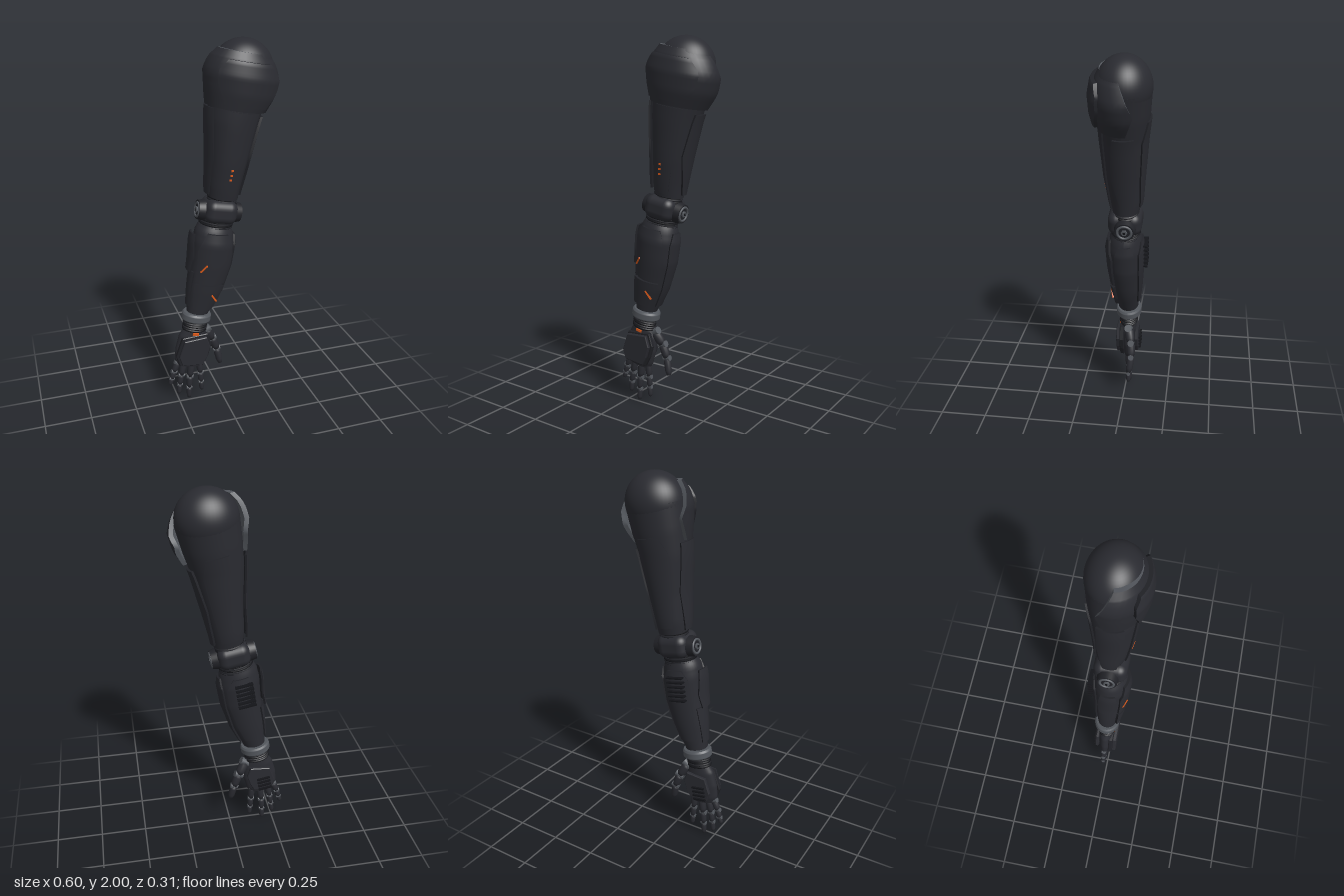
import * as THREE from 'three';
import { mergeGeometries } from 'three/addons/utils/BufferGeometryUtils.js';
import { RoundedBoxGeometry } from 'three/addons/geometries/RoundedBoxGeometry.js';

const TILT = 0.18; // cross-sections lean with the arm
const DEG = Math.PI / 180;
const mat = (name, color) => Object.assign(new THREE.MeshStandardMaterial({ color }), { name });

// Profiles: rows of [y, centre x, centre z, radius x, radius z], bottom to top
const UPPER = [[1.2, 0.01, -0.02, 0.078, 0.07], [1.26, 0.015, -0.02, 0.085, 0.082], [1.4, 0.035, -0.015, 0.1, 0.098],
  [1.6, 0.06, -0.015, 0.128, 0.115], [1.72, 0.085, -0.02, 0.143, 0.125], [1.85, 0.11, -0.02, 0.153, 0.135]];
const PAULDRON = [[1.665, 0.075, -0.02, 0.155, 0.135], [1.74, 0.095, -0.02, 0.18, 0.15],
  [1.825, 0.105, -0.02, 0.193, 0.155], [1.89, 0.108, -0.02, 0.172, 0.142], [1.94, 0.11, -0.02, 0.135, 0.115]];
const FOREARM = [[0.56, -0.135, -0.018, 0.06, 0.055], [0.7, -0.095, -0.015, 0.09, 0.075], [0.85, -0.06, -0.012, 0.105, 0.09],
  [0.97, -0.045, -0.01, 0.11, 0.095], [1.03, -0.04, -0.012, 0.1, 0.085], [1.06, -0.035, -0.015, 0.085, 0.075]];
const HAND = [[0.225, -0.185, -0.018, 0.07, 0.026], [0.26, -0.182, -0.018, 0.086, 0.036], [0.33, -0.17, -0.018, 0.092, 0.042],
  [0.41, -0.158, -0.018, 0.082, 0.044], [0.46, -0.152, -0.018, 0.058, 0.04]];

// Interpolate rows on their first value
function sample(rows, y) {
  let i = 0;
  while (i < rows.length - 2 && y > rows[i + 1][0]) i++;
  const a = rows[i], b = rows[i + 1];
  const t = THREE.MathUtils.clamp((y - a[0]) / (b[0] - a[0]), 0, 1);
  return a.map((v, k) => v + (b[k] - v) * t);
}

// Point on a profile at height y and angle (0 = +x, 90 = +z), pushed out by off
function pointOn(profile, y, angle, off = 0) {
  const [, cx, cz, rx, rz] = sample(profile, y);
  const dx = (rx + off) * Math.cos(angle * DEG);
  return new THREE.Vector3(cx + dx, y - TILT * dx, cz + (rz + off) * Math.sin(angle * DEG));
}

// Surface from a rule f(p, q); its front is dp x dq
function grid(f, np, nq) {
  const pos = [], idx = [];
  for (let i = 0; i <= np; i++) for (let j = 0; j <= nq; j++) pos.push(...f(i / np, j / nq).toArray());
  for (let i = 0; i < np; i++) for (let j = 0; j < nq; j++) {
    const a = i * (nq + 1) + j, b = a + nq + 1;
    idx.push(a, b, a + 1, b, b + 1, a + 1);
  }
  const g = new THREE.BufferGeometry();
  g.setAttribute('position', new THREE.Float32BufferAttribute(pos, 3));
  g.setIndex(idx);
  g.computeVertexNormals();
  return g;
}

// Curved plate over a profile; outline rows are [y, start angle, end angle]
function plateGeometry(profile, outline, off, thick, steps = 5) {
  const S = (u, v, w) => {
    const s = u * (outline.length - 1), i = Math.min(Math.floor(s), outline.length - 2), t = s - i;
    const [y, a0, a1] = outline[i].map((q, k) => q + (outline[i + 1][k] - q) * t);
    return pointOn(profile, y, a0 + (a1 - a0) * v, off - thick * (1 - w));
  };
  const nu = (outline.length - 1) * steps, nv = 18;
  const rims = mergeGeometries([
    grid((p, q) => S(p, 1 - q, 0), nu, nv),
    grid((p, q) => S(q, 1, p), 1, nu), grid((p, q) => S(q, 0, 1 - p), 1, nu),
    grid((p, q) => S(1, p, q), nv, 1), grid((p, q) => S(0, 1 - p, q), nv, 1)]);
  return mergeGeometries([grid((p, q) => S(p, q, 1), nu, nv), rims], true);
}

// Closed body through every section of a profile
function bodyGeometry(profile) {
  const y0 = profile[0][0], y1 = profile.at(-1)[0];
  const mid = (y) => { const [, cx, cz] = sample(profile, y); return new THREE.Vector3(cx, y, cz); };
  return mergeGeometries([
    grid((p, q) => pointOn(profile, y0 + (y1 - y0) * p, q * 360), 30, 40),
    grid((p, q) => (q ? pointOn(profile, y1, p * 360) : mid(y1)), 40, 1),
    grid((p, q) => (q ? pointOn(profile, y0, 360 - p * 360) : mid(y0)), 40, 1)]);
}

export function createModel() {
  const root = new THREE.Group();
  const armor = mat('charcoal armor', 0x2a2b31), core = mat('dark core', 0x212227);
  const black = mat('black rubber', 0x141519), steel = mat('grey steel', 0x53575d), orange = mat('orange marking', 0xd8591b);

  const add = (name, geo, m, parent = root) => {
    const mesh = new THREE.Mesh(geo, m);
    mesh.name = name;
    parent.add(mesh);
    return mesh;
  };
  const plate = (name, profile, outline, off = 0.009, thick = 0.012, edge = core) =>
    add(name, plateGeometry(profile, outline, off, thick), [armor, edge]);
  // Stack of flattened rubber rings between two [x, y, z] centres
  const bellows = (name, from, to, rx, rz, n) => {
    const a = new THREE.Vector3(...from), b = new THREE.Vector3(...to);
    for (let i = 0; i < n; i++) {
      const ring = add(name, new THREE.SphereGeometry(1, 28, 10), i % 2 ? core : black);
      ring.position.lerpVectors(a, b, i / (n - 1));
      ring.scale.set(rx, a.distanceTo(b) / n + 0.006, rz);
      ring.rotation.z = -TILT;
    }
  };
  // Thin painted mark lying on a profile
  const mark = (profile, y, angle, off, w, h, lean = 0) => {
    const m = add('orangeMark', new THREE.BoxGeometry(w, h, 0.008), orange);
    m.position.copy(pointOn(profile, y, angle, off));
    m.rotation.set(0, (90 - angle) * DEG, lean, 'YXZ');
  };

  // Shoulder and upper arm
  const ball = add('shoulderBall', new THREE.SphereGeometry(1, 48, 32), armor);
  ball.position.set(0.11, 1.85, -0.02);
  ball.scale.set(0.155, 0.15, 0.136);
  add('upperArmCore', bodyGeometry(UPPER), armor);
  plate('pauldronShell', PAULDRON, [[1.665, -8, 188], [1.77, -22, 202], [1.9, 0, 180], [1.94, 8, 172]], 0, 0.022, steel);
  plate('pauldronFrontPlate', PAULDRON, [[1.69, 55, 125], [1.78, 43, 137], [1.85, 43, 137], [1.9, 54, 126]], 0.018, 0.022);
  plate('upperArmFrontPanel', UPPER, [[1.22, 62, 112], [1.4, 55, 118], [1.66, 50, 115]]);
  plate('upperArmLeftPanel', UPPER, [[1.22, -30, 8], [1.42, -38, 32], [1.64, -28, 20]], 0.012);
  plate('upperArmBackPanel', UPPER, [[1.24, -120, -62], [1.4, -130, -55], [1.6, -130, -52], [1.7, -112, -68]]);
  plate('upperArmRightPanel', UPPER, [[1.22, 155, 200], [1.42, 145, 212], [1.66, 150, 205]], 0.02, 0.01);
  for (const y of [1.37, 1.345, 1.32]) mark(UPPER, y, 92, 0.008, 0.012, 0.01);

  // Elbow joint with a hub at each end
  bellows('elbowUpperBellows', [0.005, 1.175, -0.02], [0.008, 1.215, -0.02], 0.08, 0.068, 4);
  const elbow = new THREE.Group();
  elbow.name = 'elbow';
  elbow.position.set(-0.012, 1.135, -0.015);
  elbow.rotation.z = -TILT;
  root.add(elbow);
  add('elbowBlock', new RoundedBoxGeometry(0.17, 0.125, 0.175, 4, 0.045), armor, elbow);
  for (const s of [-1, 1]) {
    const hub = new THREE.Group();
    hub.name = 'elbowHub';
    hub.position.set(s * 0.08, -0.008, -0.005);
    hub.rotation.z = -s * Math.PI / 2;
    elbow.add(hub);
    add('hubDrum', new THREE.CylinderGeometry(0.05, 0.056, 0.036, 32), core, hub).position.y = 0.018;
    const ring = add('hubRing', new THREE.TorusGeometry(0.036, 0.007, 8, 32), steel, hub);
    ring.position.y = 0.035;
    ring.rotation.x = Math.PI / 2;
    add('hubCap', new THREE.CylinderGeometry(0.016, 0.018, 0.012, 6), steel, hub).position.y = 0.038;
    add('hubBolt', new THREE.CylinderGeometry(0.007, 0.007, 0.006, 12), black, hub).position.y = 0.043;
  }
  bellows('elbowLowerBellows', [-0.035, 1.045, -0.015], [-0.025, 1.085, -0.015], 0.092, 0.078, 5);

  // Forearm shell and plates
  add('forearmCore', bodyGeometry(FOREARM), armor);
  plate('forearmUpperFrontPlate', FOREARM, [[0.755, 45, 138], [0.93, 42, 142], [1.03, 58, 122]], 0.013, 0.014);
  plate('forearmLowerFrontPlate', FOREARM, [[0.6, 55, 128], [0.65, 46, 135], [0.742, 45, 138]], 0.016, 0.016);
  plate('forearmLeftPanel', FOREARM, [[0.6, -25, 25], [0.85, -35, 28], [0.96, -35, 28], [1.02, -22, 18]], 0.01);
  plate('forearmBackPanel', FOREARM, [[0.62, -122, -58], [0.85, -135, -50], [0.96, -130, -50], [1.02, -112, -68]]);
  plate('forearmRightPanel', FOREARM, [[0.6, 155, 208], [0.8, 150, 215]]);
  plate('forearmRightFin', FOREARM, [[0.8, 158, 200], [0.88, 152, 208], [1.01, 158, 200]], 0.024, 0.01);
  mark(FOREARM, 0.838, 120, 0.013, 0.009, 0.055, -0.75);
  mark(FOREARM, 0.672, 68, 0.016, 0.009, 0.055, 0.6);
  for (let i = 0; i < 6; i++) {
    const slat = add('forearmVent', new THREE.BoxGeometry(0.095, 0.007, 0.026), black);
    slat.position.set(-0.055 - i * 0.004, 0.99 - i * 0.025, -0.117);
    slat.rotation.z = -TILT;
  }

  // Wrist
  const cuff = [[0.508, -0.144, -0.02, 0.074, 0.064], [0.515, -0.143, -0.02, 0.08, 0.07], [0.545, -0.138, -0.02, 0.08, 0.07], [0.555, -0.136, -0.02, 0.073, 0.063]];
  add('wristCuff', bodyGeometry(cuff), steel);
  bellows('wristBellows', [-0.154, 0.455, -0.018], [-0.146, 0.505, -0.018], 0.07, 0.052, 5);

  // Hand with armored back and slatted palm
  add('handBody', bodyGeometry(HAND), armor);
  const outline = [[-0.23, 0.42], [-0.09, 0.43], [-0.068, 0.36], [-0.09, 0.29], [-0.118, 0.238], [-0.25, 0.252], [-0.268, 0.31]];
  const hex = (k) => new THREE.Shape(outline.map(([x, y]) => new THREE.Vector2(-0.168 + (x + 0.168) * k, 0.34 + (y - 0.34) * k)));
  const bevel = (depth) => ({ depth, bevelSize: 0.004, bevelThickness: 0.004, bevelSegments: 1 });
  add('handBackBase', new THREE.ExtrudeGeometry(hex(0.97), bevel(0.016)), core).position.z = 0.008;
  add('handBackPlate', new THREE.ExtrudeGeometry(hex(0.84), bevel(0.014)), armor).position.z = 0.03;
  add('palmPlate', new THREE.ExtrudeGeometry(hex(0.75), bevel(0.012)), armor).position.z = -0.072;
  for (let i = 0; i < 4; i++) {
    const slat = add('palmSlat', new THREE.BoxGeometry(0.075, 0.009, 0.014), black);
    slat.position.set(-0.192 + i * 0.004, 0.27 + i * 0.023, -0.08);
    slat.rotation.z = -TILT;
  }
  const badge = add('handMark', new THREE.BoxGeometry(0.034, 0.012, 0.008), orange);
  badge.position.set(-0.157, 0.438, 0.028);
  badge.rotation.z = -TILT;

  // Fingers: tapered links between steel knuckles
  function finger(name, points, r) {
    const g = new THREE.Group();
    g.name = name;
    root.add(g);
    const pts = points.map((p) => new THREE.Vector3(...p));
    const up = new THREE.Vector3(0, -1, 0);
    for (let i = 0; i < pts.length - 1; i++) {
      const a = pts[i], d = pts[i + 1].clone().sub(a), len = d.length(), k = r * (1 - i * 0.13);
      const q = new THREE.Quaternion().setFromUnitVectors(up, d.normalize());
      const last = i === pts.length - 2;
      const knuckle = add('knuckle', new THREE.CylinderGeometry(k * 0.78, k * 0.78, k * 2.05, 16), steel, g);
      knuckle.position.copy(a);
      knuckle.quaternion.copy(q).multiply(new THREE.Quaternion().setFromEuler(new THREE.Euler(0, 0, Math.PI / 2)));
      const link = [[0, len / 2], [k * 0.75, len / 2 - 0.003], [k, len * 0.3], [k * 0.95, -len * 0.2], [k * (last ? 0.6 : 0.78), -len / 2 + 0.004], [0, -len / 2]];
      const mesh = add(last ? 'fingertip' : 'fingerLink', new THREE.LatheGeometry(link.map(([x, y]) => new THREE.Vector2(x, y)).reverse(), 16), armor, g);
      mesh.position.copy(a).addScaledVector(d, len / 2);
      mesh.quaternion.copy(q);
    }
  }
  const z = -0.02;
  finger('littleFinger', [[-0.252, 0.25, z], [-0.275, 0.195, z], [-0.288, 0.15, z], [-0.299, 0.112, z]], 0.018);
  finger('ringFinger', [[-0.217, 0.24, z], [-0.233, 0.165, z], [-0.243, 0.105, z], [-0.25, 0.042, z]], 0.019);
  finger('middleFinger', [[-0.172, 0.235, z], [-0.183, 0.145, z], [-0.188, 0.075, z], [-0.19, 0.004, z]], 0.02);
  finger('indexFinger', [[-0.128, 0.24, z], [-0.122, 0.16, z], [-0.118, 0.1, z], [-0.114, 0.042, z]], 0.019);
  finger('thumb', [[-0.085, 0.43, -0.025], [-0.045, 0.36, -0.042], [-0.018, 0.285, -0.045], [0.002, 0.19, -0.035]], 0.027);
  return root;
}
